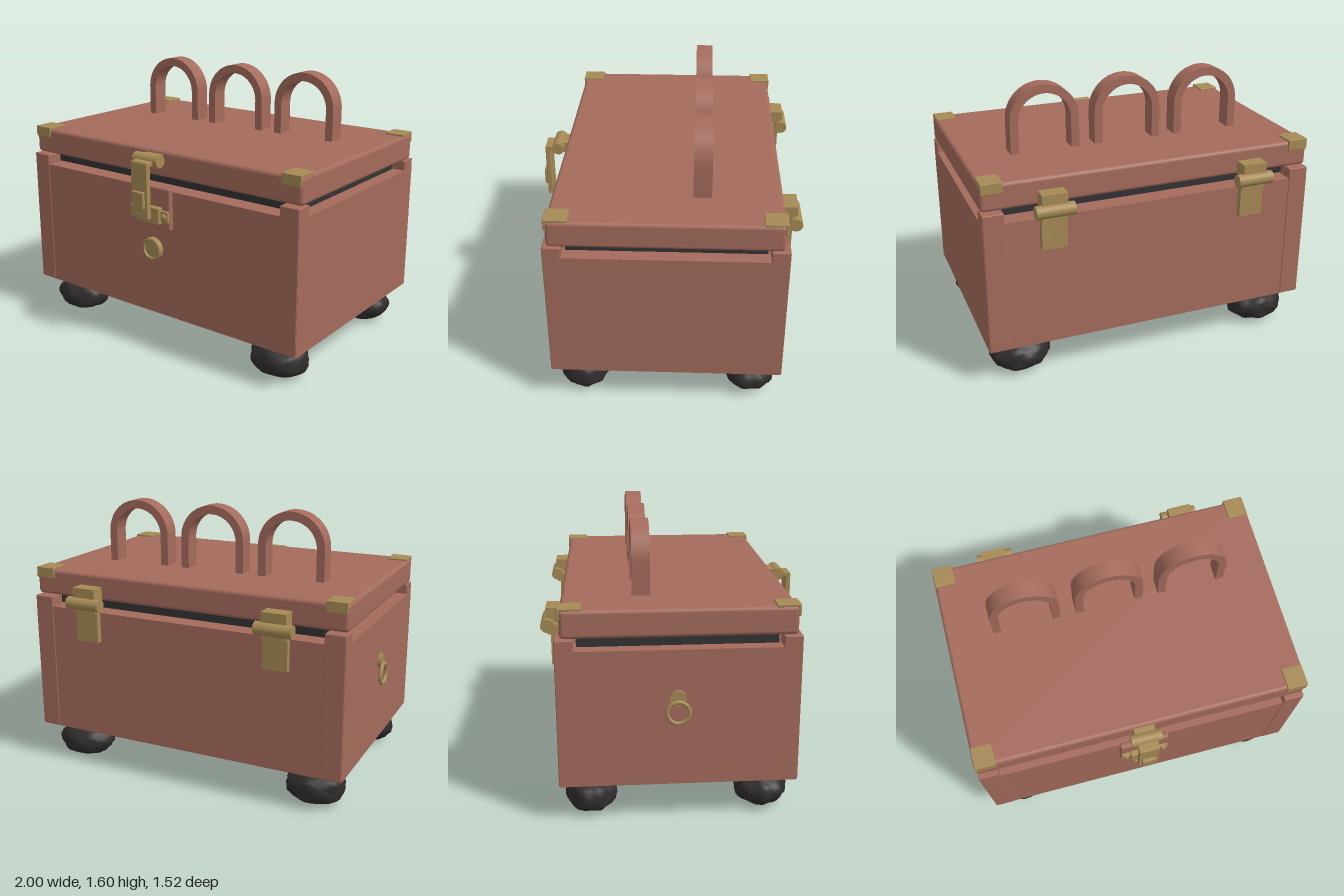
import * as THREE from 'three';
import { mergeVertices, toCreasedNormals } from 'three/addons/utils/BufferGeometryUtils.js';
import { RoundedBoxGeometry } from 'three/addons/geometries/RoundedBoxGeometry.js';

const material = (name, color) => {
  const m = new THREE.MeshStandardMaterial({ color });
  m.name = name;
  return m;
};

export function createModel() {
  const leather = material('reddish brown', 0xa46b5c);
  const brass = material('brass', 0xa68a55);
  const rubber = material('black foot', 0x302c2c);
  const seal = material('charcoal seal', 0x333335);

  const model = new THREE.Group();
  model.name = 'chest';
  // The side ring pushes the case slightly off centre
  model.position.x = 0.015;

  const add = (name, geometry, mat, x = 0, y = 0, z = 0, parent = model) => {
    const mesh = new THREE.Mesh(geometry, mat);
    mesh.name = name;
    mesh.position.set(x, y, z);
    parent.add(mesh);
    return mesh;
  };
  // Box given by its limits on each axis, optionally with rounded edges
  const box = (name, mat, [x0, x1], [y0, y1], [z0, z1], r = 0, parent = model) => {
    const size = [x1 - x0, y1 - y0, z1 - z0];
    const g = r ? new RoundedBoxGeometry(...size, 3, r) : new THREE.BoxGeometry(...size);
    return add(name, g, mat, (x0 + x1) / 2, (y0 + y1) / 2, (z0 + z1) / 2, parent);
  };
  const group = (name) => {
    const g = new THREE.Group();
    g.name = name;
    model.add(g);
    return g;
  };
  const rod = (r, length, axis) => {
    const g = new THREE.CylinderGeometry(r, r, length, 28);
    return axis === 'x' ? g.rotateZ(Math.PI / 2) : g.rotateX(Math.PI / 2);
  };

  // Case, plinth and seal under the lid
  box('body', leather, [-0.98, 0.98], [0.22, 0.99], [-0.671, 0.626]);
  box('plinth', leather, [-0.9, 0.9], [0.19, 0.22], [-0.58, 0.535]);
  box('lidSeal', seal, [-0.9, 0.9], [0.99, 1.046], [-0.562, 0.516]);
  for (const s of [-1, 1]) {
    const xs = s < 0 ? [-0.979, -0.86] : [0.86, 0.979];
    box('frontCornerPost', leather, xs, [0.222, 1.05], [0.53, 0.63], 0.006);
    box('backCornerPost', leather, xs, [0.222, 1.05], [-0.675, -0.575], 0.006);
  }

  // Lid with rounded edges
  box('lid', leather, [-0.98, 0.98], [1.056, 1.21], [-0.645, 0.605], 0.022);

  // Folded brass corners: a top plate and a flap down the front or back
  for (const s of [-1, 1]) {
    const xs = s < 0 ? [-0.975, -0.855] : [0.855, 0.975];
    const front = group('frontLidCorner'), back = group('backLidCorner');
    box('topPlate', brass, xs, [1.205, 1.221], [0.485, 0.613], 0.004, front);
    box('flap', brass, xs, [1.157, 1.219], [0.598, 0.613], 0.004, front);
    box('topPlate', brass, xs, [1.205, 1.221], [-0.655, -0.53], 0.004, back);
    box('flap', brass, xs, [1.157, 1.219], [-0.655, -0.638], 0.004, back);
  }

  // Three arched handles
  const arch = new THREE.Shape();
  arch.moveTo(-0.203, 1.205);
  arch.lineTo(-0.155, 1.205);
  arch.lineTo(-0.155, 1.39);
  arch.absarc(0, 1.39, 0.155, Math.PI, 0, true);
  arch.lineTo(0.155, 1.205);
  arch.lineTo(0.203, 1.205);
  arch.lineTo(0.203, 1.39);
  arch.absarc(0, 1.392, 0.203, 0, Math.PI, false);
  const archGeometry = toCreasedNormals(
    new THREE.ExtrudeGeometry(arch, { depth: 0.1, bevelEnabled: false, curveSegments: 28 }), 0.5);
  for (const x of [-0.5, 0, 0.5]) add('handle', archGeometry, leather, x, 0, -0.26);

  // Lumpy flattened feet
  const footGeometry = (seed) => {
    let g = new THREE.IcosahedronGeometry(1, 7);
    g.deleteAttribute('uv');
    g.deleteAttribute('normal');
    g = mergeVertices(g, 1e-4);
    const p = g.attributes.position, v = new THREE.Vector3();
    for (let i = 0; i < p.count; i++) {
      v.fromBufferAttribute(p, i);
      const lump = 1 + 0.035 * Math.sin(7 * v.x + seed) * Math.sin(6 * v.y + 2 * seed)
        + 0.03 * Math.sin(9 * v.z + 5 * v.x - seed) + 0.015 * Math.sin(17 * v.y + 13 * v.z);
      const flat = Math.sign(v.y) * Math.pow(Math.abs(v.y), 0.85);
      p.setXYZ(i, v.x * lump * 0.172, Math.max(-0.102, flat * lump * 0.1), v.z * lump * 0.147);
    }
    g.computeVertexNormals();
    return g;
  };
  [[-0.775, 0.455], [0.77, 0.455], [-0.775, -0.505], [0.77, -0.505]].forEach(([x, z], i) =>
    add('foot', footGeometry(i * 1.7 + 0.4), rubber, x, 0.102, z));

  // Front latch: backing plate, catch with screws, hinged hasp
  const latch = group('frontLatch');
  box('backingPlate', leather, [-0.146, 0.146], [0.76, 1.01], [0.62, 0.656], 0.012, latch);
  box('catchEars', brass, [-0.142, 0.142], [0.812, 0.88], [0.65, 0.67], 0.006, latch);
  box('catchBlock', brass, [-0.09, 0.09], [0.797, 0.897], [0.65, 0.687], 0.008, latch);
  for (const x of [-0.113, 0.113]) {
    const screw = add('screw', new THREE.SphereGeometry(0.02, 20, 12), brass, x, 0.846, 0.67, latch);
    screw.scale.z = 0.6;
  }
  add('haspBarrel', rod(0.036, 0.18, 'x'), brass, 0, 1.163, 0.662, latch);
  box('barrelMount', brass, [-0.06, 0.06], [1.13, 1.19], [0.6, 0.64], 0, latch);
  box('haspArm', brass, [-0.06, 0.06], [1.137, 1.167], [0.665, 0.743], 0.006, latch);
  box('haspStrap', brass, [-0.06, 0.06], [0.838, 1.16], [0.714, 0.745], 0.006, latch);
  box('haspTab', brass, [-0.042, 0.042], [0.897, 0.997], [0.74, 0.763], 0.006, latch);

  // Round lock below the latch
  const lockProfile = [[0, 0.024], [0.05, 0.024], [0.054, 0.033], [0.062, 0.033], [0.068, 0.026], [0.068, 0]]
    .map(([r, y]) => new THREE.Vector2(r, y)).reverse();
  const lockGeometry = toCreasedNormals(new THREE.LatheGeometry(lockProfile, 36).rotateX(Math.PI / 2), 0.5);
  add('roundLock', lockGeometry, brass, 0, 0.625, 0.625);

  // Two back hinges
  for (const x of [-0.595, 0.597]) {
    const hinge = group('backHinge');
    hinge.position.x = x;
    add('barrel', rod(0.037, 0.218, 'x'), brass, 0, 1.047, -0.722, hinge);
    box('upperLeaf', brass, [-0.072, 0.072], [1.06, 1.14], [-0.73, -0.64], 0, hinge);
    box('lowerLeaf', brass, [-0.072, 0.072], [0.815, 1.04], [-0.705, -0.67], 0, hinge);
    box('knuckleLink', brass, [-0.072, 0.072], [0.99, 1.05], [-0.722, -0.68], 0, hinge);
  }

  // Pull ring hanging from a boss on the right side
  const ring = group('sidePullRing');
  add('boss', rod(0.045, 0.022, 'x'), brass, -0.986, 0.722, -0.03, ring);
  const loop = add('ring', new THREE.TorusGeometry(0.06, 0.011, 12, 36).rotateY(Math.PI / 2), brass,
    -1.004, 0.645, -0.03, ring);
  loop.scale.z = 1.0;

  return model;
}
